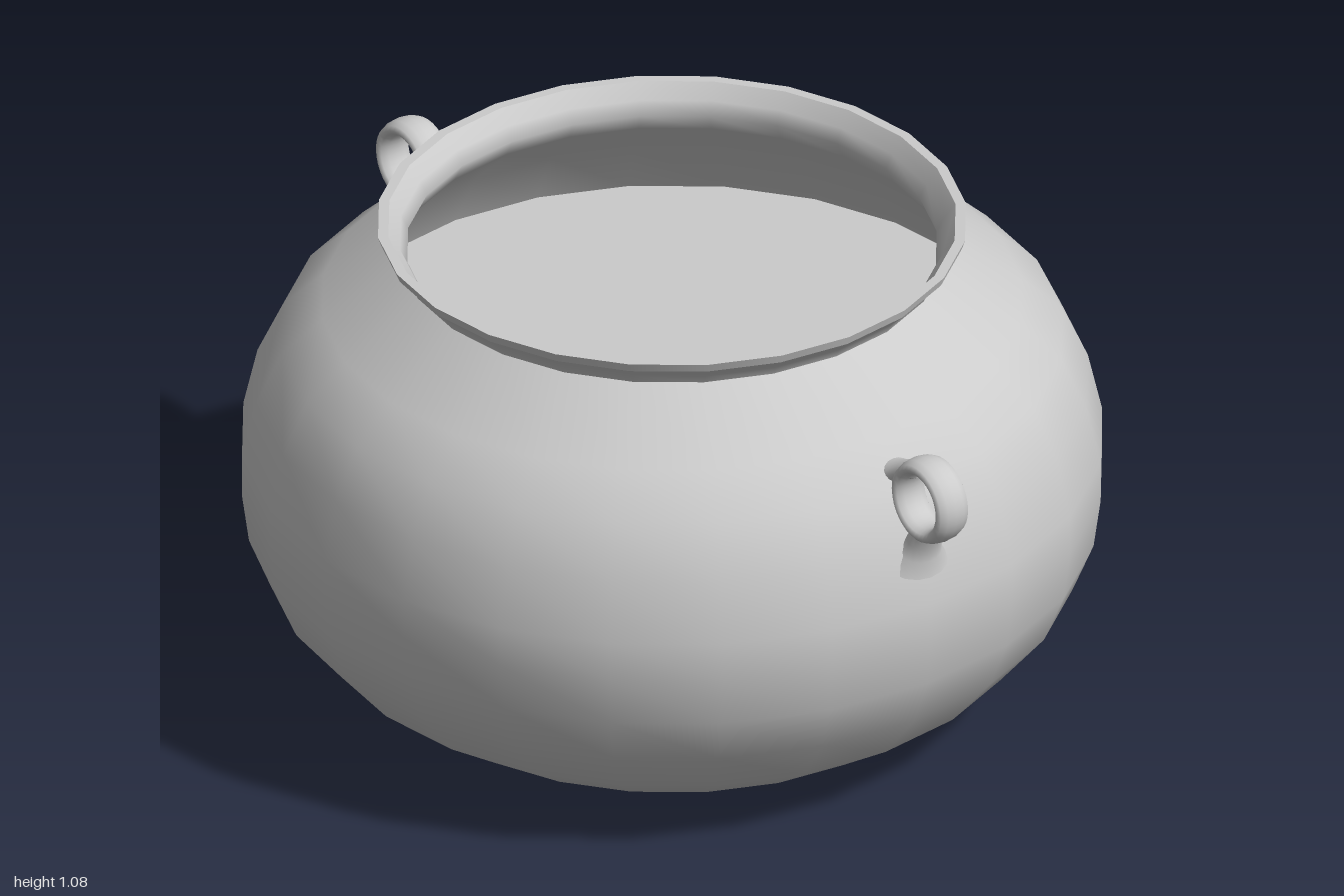
import * as THREE from 'three';

const SIDES = 24;
const material = new THREE.MeshStandardMaterial({ color: 0xcccccc, side: THREE.DoubleSide });

const add = (parent, name, geometry) => {
  const mesh = new THREE.Mesh(geometry, material);
  mesh.name = name;
  parent.add(mesh);
  return mesh;
};

const lathe = (points, sides = SIDES) =>
  new THREE.LatheGeometry(points.map(([r, y]) => new THREE.Vector2(r, y)), sides);

// Flared root running from the body (a) out to the ring (b)
function flaredRoot(a, b, radii) {
  const start = new THREE.Vector3(...a, 0);
  const axis = new THREE.Vector3(...b, 0).sub(start);
  const length = axis.length();
  const geometry = lathe(radii.map((r, i) => [r, (length * i) / (radii.length - 1)]), 16);
  geometry.applyQuaternion(
    new THREE.Quaternion().setFromUnitVectors(new THREE.Vector3(0, 1, 0), axis.normalize()));
  geometry.translate(start.x, start.y, 0);
  geometry.scale(1, 1, 1.3);
  return geometry;
}

// Ring handle on the +x side: flattened torus with two roots
function createHandle(name) {
  const handle = new THREE.Group();
  handle.name = name;
  const ring = new THREE.TorusGeometry(0.077, 0.018, 12, 32);
  ring.scale(1, 1, 2.3);
  ring.translate(0.905, 0.82, 0);
  add(handle, 'handleRing', ring);
  add(handle, 'handleLowerRoot',
    flaredRoot([0.855, 0.66], [0.9, 0.745], [0.06, 0.04, 0.031, 0.028]));
  add(handle, 'handleUpperRoot',
    flaredRoot([0.77, 0.825], [0.85, 0.868], [0.035, 0.026, 0.022, 0.02]));
  return handle;
}

export function createModel() {
  const pot = new THREE.Group();
  pot.name = 'pot';

  // Outer shell, flat base up to the neck
  add(pot, 'body', lathe([
    [0, 0], [0.42, 0.003], [0.6, 0.04], [0.75, 0.14], [0.85, 0.26], [0.895, 0.37],
    [0.91, 0.48], [0.91, 0.57], [0.88, 0.7], [0.826, 0.815], [0.74, 0.895], [0.575, 1.015],
  ]));

  // Flared collar, its edge, and the inside of the mouth
  add(pot, 'collar', lathe([[0.575, 1.015], [0.585, 1.035], [0.615, 1.063]]));
  add(pot, 'rimEdge', lathe([[0.615, 1.063], [0.622, 1.083]]));
  add(pot, 'rimTop', lathe([[0.622, 1.083], [0.6, 1.083]]));
  add(pot, 'innerWall', lathe([
    [0.6, 1.083], [0.575, 1.05], [0.56, 1.02], [0.58, 0.98], [0.69, 0.87], [0.76, 0.74],
  ]));

  // Level surface closing the inside
  const fill = new THREE.CircleGeometry(0.76, SIDES);
  fill.rotateX(-Math.PI / 2);
  add(pot, 'innerSurface', fill).position.y = 0.74;

  // Pair of handles
  const left = createHandle('leftHandle');
  const right = createHandle('rightHandle');
  right.rotation.y = Math.PI;
  pot.add(left, right);

  return pot;
}
